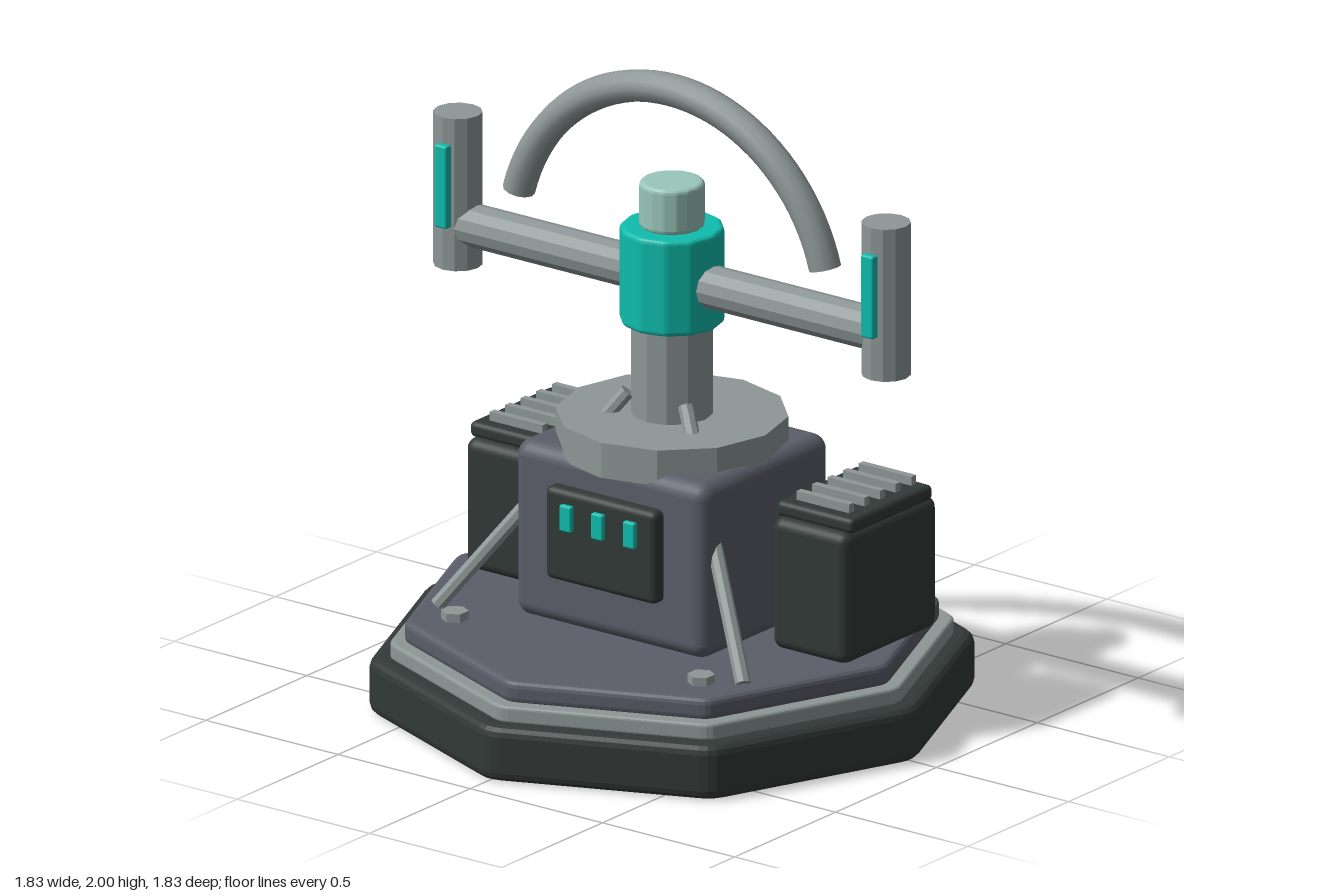
import * as THREE from 'three';
import { RoundedBoxGeometry } from 'three/addons/geometries/RoundedBoxGeometry.js';

const mat = (name, color) => {
  const m = new THREE.MeshStandardMaterial({ color });
  m.name = name;
  return m;
};

export function createModel() {
  const charcoal = mat('charcoal', 0x323937);
  const slate = mat('slate', 0x5b5e69);
  const steel = mat('steel', 0x8e9797);
  const teal = mat('teal', 0x0fbdad);
  const paleGreen = mat('paleGreen', 0x9ac6bb);

  const model = new THREE.Group();
  model.name = 'beaconStation';

  const add = (name, geometry, material, x = 0, y = 0, z = 0, parent = model) => {
    const mesh = new THREE.Mesh(geometry, material);
    mesh.name = name;
    mesh.position.set(x, y, z);
    parent.add(mesh);
    return mesh;
  };

  // Upright prism standing on y = 0, with bevelled rims and softened corners
  const prism = (sides, radius, height, bevel, cut) => {
    const corner = (i) => {
      const a = (i * 2 * Math.PI) / sides;
      return new THREE.Vector2(Math.sin(-a) * radius, Math.cos(a) * radius);
    };
    const t = cut / corner(0).distanceTo(corner(1));
    const shape = new THREE.Shape();
    for (let i = 0; i < sides; i++) {
      const c = corner(i);
      const from = c.clone().lerp(corner(i - 1), t);
      const to = c.clone().lerp(corner(i + 1), t);
      if (i === 0) shape.moveTo(from.x, from.y);
      else shape.lineTo(from.x, from.y);
      shape.quadraticCurveTo(c.x, c.y, to.x, to.y);
    }
    shape.closePath();
    const g = new THREE.ExtrudeGeometry(shape, {
      depth: height - 2 * bevel, bevelEnabled: true, bevelThickness: bevel,
      bevelSize: bevel, bevelOffset: -bevel, bevelSegments: 3, curveSegments: 3,
    });
    return g.translate(0, 0, bevel).rotateX(-Math.PI / 2);
  };

  // Cylinder with flat facets
  const faceted = (radius, height, sides) => {
    const g = new THREE.CylinderGeometry(radius, radius, height, sides).toNonIndexed();
    g.computeVertexNormals();
    return g;
  };

  const box = (w, h, d, r) => new RoundedBoxGeometry(w, h, d, 3, r);

  // Stepped octagonal base
  add('baseSkirt', prism(8, 0.925, 0.175, 0.03, 0.045), charcoal, 0, 0.003, 0);
  add('baseTrim', prism(8, 0.86, 0.055, 0.01, 0.03), steel, 0, 0.172, 0);
  add('deck', prism(8, 0.816, 0.072, 0.02, 0.03), slate, 0, 0.22, 0);

  // Housing, collar, mast and head
  add('housing', box(0.73, 0.56, 0.634, 0.05), slate, 0, 0.565, 0);
  add('mastCollar', faceted(0.353, 0.112, 12), steel, 0, 0.867, 0);
  add('mast', faceted(0.125, 0.36, 12), steel, 0, 1.07, 0);
  add('head', prism(12, 0.16, 0.306, 0.014, 0.012), teal, 0, 1.214, 0);
  add('headCap', prism(16, 0.1, 0.145, 0.014, 0.006), paleGreen, 0, 1.517, 0);

  // Control panel with three lamps
  add('controlPanel', box(0.42, 0.296, 0.07, 0.022), charcoal, 0, 0.595, 0.325);
  for (const x of [-0.12, 0, 0.12]) {
    add('panelLamp', box(0.044, 0.083, 0.03, 0.006), teal, x, 0.659, 0.361);
  }

  // Crossbar
  add('crossbar', faceted(0.067, 1.6, 12).rotateZ(Math.PI / 2), steel, 0, 1.354, 0);

  // Overhead arch with closed ends
  const arch = new THREE.Group();
  arch.name = 'overheadArch';
  arch.position.y = 1.35;
  model.add(arch);
  const start = 0.265, span = Math.PI - 2 * start;
  const torus = new THREE.TorusGeometry(0.6, 0.05, 12, 40, span).rotateZ(start);
  add('archTube', torus, steel, 0, 0, 0, arch);
  for (const [angle, turn] of [[start, 1], [start + span, -1]]) {
    const cap = new THREE.CircleGeometry(0.05, 12).rotateX(turn * Math.PI / 2).rotateZ(angle);
    add('archEnd', cap, steel, 0.6 * Math.cos(angle), 0.6 * Math.sin(angle), 0, arch);
  }

  for (const s of [-1, 1]) {
    const side = s > 0 ? 'left' : 'right';

    // Upright antenna post and its light strip
    add(side + 'Post', faceted(0.075, 0.486, 12), steel, s * 0.81, 1.463, 0);
    add(side + 'PostLight', box(0.047, 0.265, 0.04, 0.008), teal, s * 0.807, 1.49, 0.074);

    // Vented power unit
    const unit = new THREE.Group();
    unit.name = side + 'PowerUnit';
    unit.position.set(s * 0.58, 0, -0.145);
    model.add(unit);
    add('unitBody', box(0.288, 0.42, 0.464, 0.035), charcoal, 0, 0.495, 0, unit);
    add('unitLid', box(0.292, 0.05, 0.404, 0.018), charcoal, 0, 0.724, 0, unit);
    for (let i = -2; i <= 2; i++) {
      add('ventFin', new THREE.BoxGeometry(0.2, 0.04, 0.024), steel, 0, 0.757, i * 0.077 - 0.008, unit);
    }

    // Slanted brace from deck to mast
    const foot = new THREE.Vector3(s * 0.578, 0.295, 0.405);
    const top = new THREE.Vector3(s * 0.11, 0.985, 0.075);
    const dir = top.clone().sub(foot);
    const brace = add(side + 'Brace', faceted(0.024, dir.length(), 8), steel);
    brace.position.copy(foot).addScaledVector(dir, 0.5);
    brace.quaternion.setFromUnitVectors(new THREE.Vector3(0, 1, 0), dir.normalize());

    // Deck bolts
    for (const z of [-0.466, 0.466]) {
      add('deckBolt', faceted(0.042, 0.04, 6), steel, s * 0.466, 0.299, z);
    }
  }

  return model;
}
